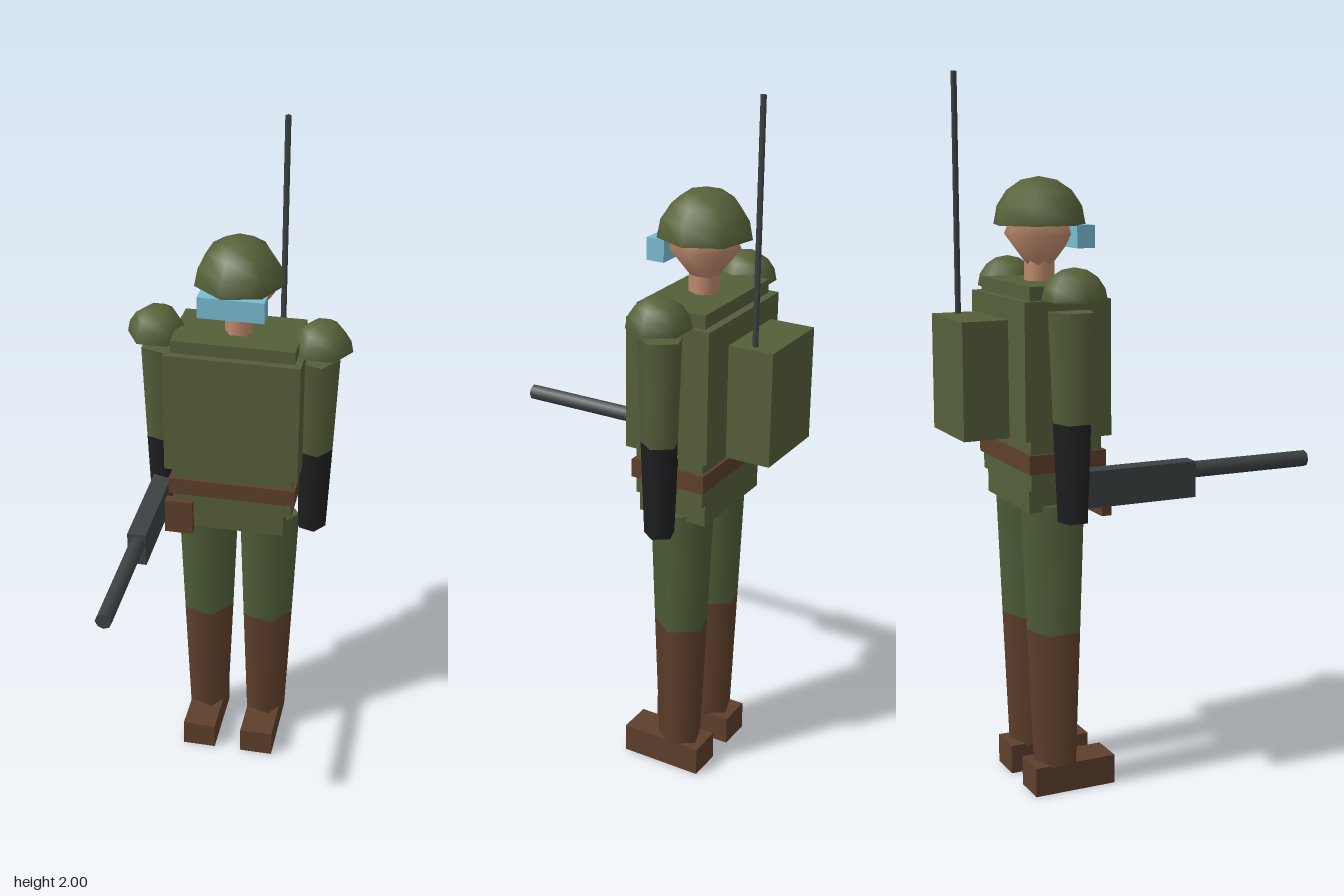
import * as THREE from 'three';

const Z = -0.227; // depth of the body axis

export function createModel() {
  const model = new THREE.Group();
  model.name = 'fieldSoldier';

  const mat = (name, color) => {
    const m = new THREE.MeshStandardMaterial({ color });
    m.name = name;
    return m;
  };
  const olive = mat('olive cloth', 0x555f39);
  const trousers = mat('trouser green', 0x4f5e38);
  const helmetGreen = mat('helmet green', 0x566239);
  const leather = mat('brown leather', 0x5e3f2b);
  const black = mat('black glove', 0x1f1f21);
  const metal = mat('gun metal', 0x3c4244);
  const glass = mat('visor blue', 0x78bdd2);
  const skin = mat('skin', 0xc08c6e);

  const add = (name, geometry, material, x = 0, y = 0, z = 0) => {
    const mesh = new THREE.Mesh(geometry, material);
    mesh.name = name;
    mesh.position.set(x, y, z);
    model.add(mesh);
    return mesh;
  };
  // Box given by its limits on each axis
  const box = (name, material, x0, x1, y0, y1, z0, z1) =>
    add(name, new THREE.BoxGeometry(x1 - x0, y1 - y0, z1 - z0), material,
      (x0 + x1) / 2, (y0 + y1) / 2, (z0 + z1) / 2);
  // Upright tapered limb with one corner pointing to +x
  const limb = (name, material, x, y0, y1, r0, r1, sides = 5, z = Z) =>
    add(name, new THREE.CylinderGeometry(r1, r0, y1 - y0, sides).rotateY(Math.PI / 2),
      material, x, (y0 + y1) / 2, z);
  // Half sphere closed below by a flat disc
  const dome = (name, material, r, sides, x, y) => {
    add(name, new THREE.SphereGeometry(r, sides, 4, 0, Math.PI * 2, 0, Math.PI / 2)
      .rotateY(Math.PI), material, x, y, Z);
    add(name + 'Underside', new THREE.CircleGeometry(r, sides).rotateX(Math.PI / 2),
      material, x, y, Z);
  };

  // Head
  const headProfile = [[0, 1.47], [0.037, 1.484], [0.1, 1.566], [0.07, 1.637], [0, 1.666]]
    .map(([r, y]) => new THREE.Vector2(r, y));
  add('head', new THREE.LatheGeometry(headProfile, 7).rotateY(Math.PI / 2), skin, 0, 0, Z);
  limb('neck', skin, 0, 1.41, 1.51, 0.042, 0.042, 6);
  dome('helmet', helmetGreen, 0.13, 7, 0, 1.592);
  box('visor', glass, -0.095, 0.093, 1.53, 1.592, -0.155, -0.102);

  // Body
  box('torso', olive, -0.178, 0.178, 0.89, 1.44, -0.33, -0.124);
  box('vest', olive, -0.197, 0.197, 1.03, 1.402, -0.352, -0.102);
  box('belt', leather, -0.188, 0.188, 0.938, 0.99, -0.338, -0.114);
  box('hips', olive, -0.155, 0.155, 0.825, 0.96, -0.327, -0.122);
  box('beltPouch', leather, -0.2, -0.115, 0.807, 0.916, -0.132, -0.103);

  // Arms and legs
  for (const [side, s] of [['left', 1], ['right', -1]]) {
    dome(side + 'ShoulderPad', helmetGreen, 0.0875, 6, s * 0.238, 1.405);
    limb(side + 'UpperArm', olive, s * 0.225, 1.078, 1.375, 0.0545, 0.0655);
    limb(side + 'GlovedForearm', black, s * 0.225, 0.808, 1.078, 0.0435, 0.0545);
    limb(side + 'Thigh', trousers, s * 0.0935, 0.47, 0.84, 0.08, 0.094);
    limb(side + 'Gaiter', leather, s * 0.0935, 0.078, 0.47, 0.0645, 0.08);
    const c = s * 0.093;
    box(side + 'Boot', leather, c - 0.051, c + 0.051, 0, 0.084, -0.31, -0.067);
  }

  // Radio pack with aerial
  box('radioPack', olive, -0.122, 0.121, 1.03, 1.349, -0.498, -0.369);
  limb('aerial', metal, 0.0925, 1.34, 2, 0.0085, 0.0085, 4, -0.432);

  // Gun held in the right hand
  box('gunBody', metal, -0.252, -0.198, 0.846, 0.947, -0.2, 0.13);
  add('gunBarrel', new THREE.CylinderGeometry(0.0235, 0.0235, 0.377, 8).rotateX(Math.PI / 2),
    metal, -0.2225, 0.918, 0.3105);

  return model;
}
